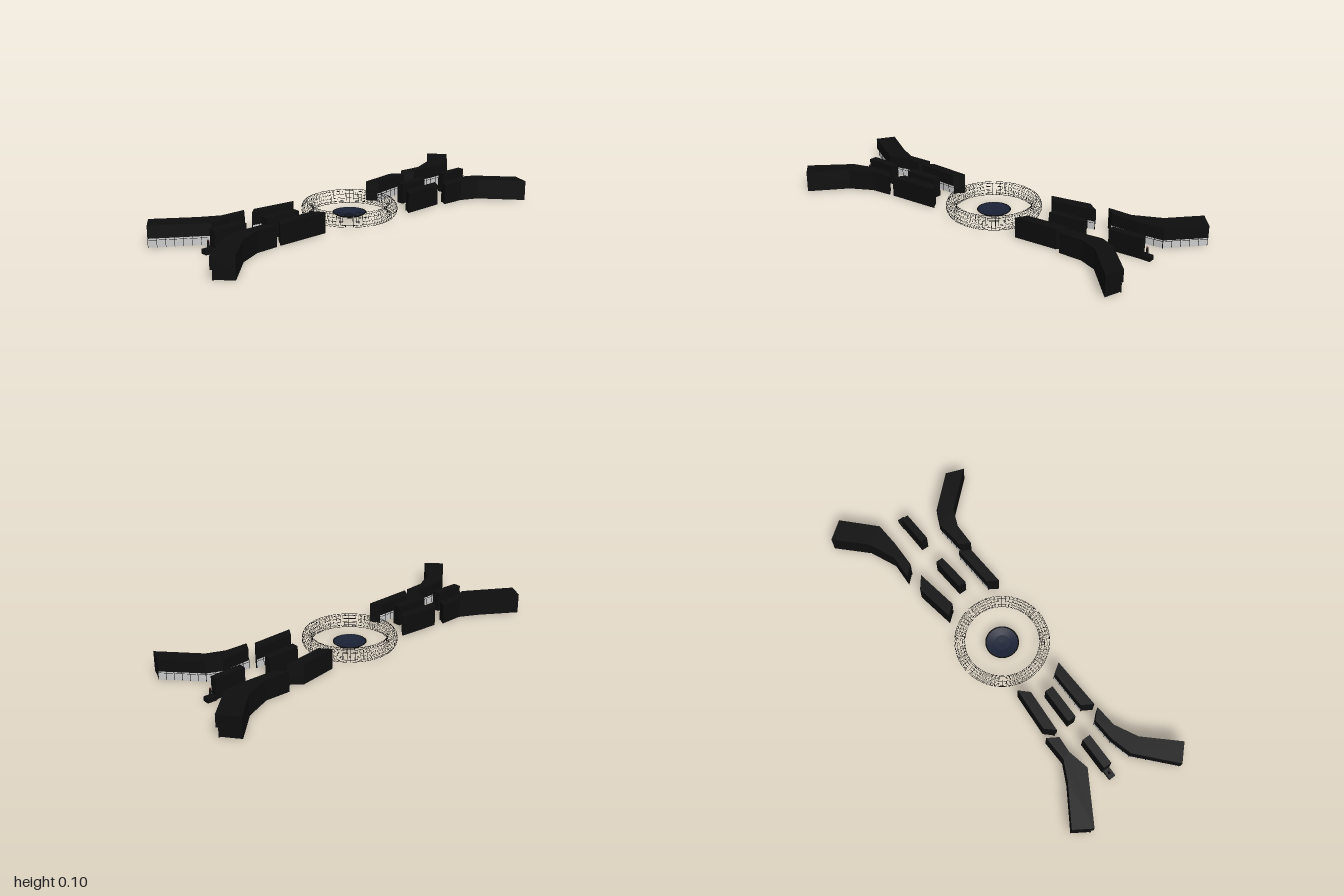
import * as THREE from 'three';
import { mergeGeometries } from 'three/addons/utils/BufferGeometryUtils.js';

const black = new THREE.MeshStandardMaterial({ color: 0x0e0e0e });
const grey = new THREE.MeshStandardMaterial({ color: 0xcccccc });
const blue = new THREE.MeshStandardMaterial({ color: 0x1a2236, flatShading: true, side: THREE.DoubleSide });
const red = new THREE.MeshStandardMaterial({ color: 0x3a1414 });

const TOP = 0.105, SILL = 0.045;

function add(parent, name, geometry, material) {
  const mesh = new THREE.Mesh(geometry, material);
  mesh.name = name;
  parent.add(mesh);
  return mesh;
}

// Upright prism over a plan outline of [x, z] points
function prism(points, y0, y1) {
  const shape = new THREE.Shape(points.map(([x, z]) => new THREE.Vector2(x, -z)));
  return new THREE.ExtrudeGeometry(shape, { depth: y1 - y0, bevelEnabled: false })
    .rotateX(-Math.PI / 2).translate(0, y0, 0);
}

// Box laid between two plan points
function bar(a, b, y0, y1, depth) {
  const dx = b[0] - a[0], dz = b[1] - a[1];
  return new THREE.BoxGeometry(Math.hypot(dx, dz), y1 - y0, depth)
    .rotateY(-Math.atan2(dz, dx))
    .translate((a[0] + b[0]) / 2, (y0 + y1) / 2, (a[1] + b[1]) / 2);
}

const mix = (a, b, t) => [a[0] + (b[0] - a[0]) * t, a[1] + (b[1] - a[1]) * t];

// Pavilion: overhanging upper storey, recessed glazed wall on its inner side
function pavilion(name, inner, outer) {
  const g = new THREE.Group();
  g.name = name;
  const back = [...outer].reverse();
  const recess = t => inner.map((p, i) => mix(p, outer[i], t));
  add(g, 'upperStorey', prism([...inner, ...back], SILL, TOP), black);
  add(g, 'groundStorey', prism([...recess(0.14), ...back], 0.003, SILL), black);

  const line = recess(0.12), glass = [], frame = [];
  for (let i = 0; i < line.length - 1; i++) {
    const a = line[i], b = line[i + 1];
    glass.push(bar(a, b, 0, SILL, 0.003));
    frame.push(bar(a, b, 0.033, 0.0345, 0.005));
    const length = Math.hypot(b[0] - a[0], b[1] - a[1]);
    const n = Math.max(2, Math.round(length / 0.04));
    for (let k = 0; k <= n; k++) {
      const [x, z] = mix(a, b, k / n);
      frame.push(new THREE.BoxGeometry(0.002, SILL, 0.006)
        .rotateY(-Math.atan2(b[1] - a[1], b[0] - a[0])).translate(x, SILL / 2, z));
    }
  }
  add(g, 'windows', mergeGeometries(glass), grey);
  add(g, 'windowFrames', mergeGeometries(frame), black);
  return g;
}

// Small figure on a low plinth
function statue(name, x, z) {
  const g = new THREE.Group();
  g.name = name;
  add(g, 'plinth', new THREE.BoxGeometry(0.05, 0.022, 0.034).translate(0, 0.011, 0), black);
  add(g, 'body', new THREE.CylinderGeometry(0.005, 0.007, 0.032, 8).translate(0, 0.038, 0), black);
  add(g, 'head', new THREE.SphereGeometry(0.005, 8, 6).translate(0, 0.058, 0), red);
  g.position.set(x, 0, z);
  return g;
}

// Ring-shaped wire cage: upright hoops joined by level rings
function wireCage() {
  const R = 0.21, rx = 0.026, ry = 0.036, cy = 0.043, wire = 0.0006;
  const closed = pts => new THREE.CatmullRomCurve3(pts, true);
  const parts = [];
  const point = (u, v) => {
    const r = R + rx * Math.cos(v);
    return new THREE.Vector3(r * Math.cos(u), cy + ry * Math.sin(v), r * Math.sin(u));
  };
  const steps = n => Array.from({ length: n }, (_, i) => (i / n) * Math.PI * 2);
  for (const u of steps(72))
    parts.push(new THREE.TubeGeometry(closed(steps(12).map(v => point(u, v))), 24, wire, 3, true));
  for (const v of steps(12))
    parts.push(new THREE.TubeGeometry(closed(steps(24).map(u => point(u, v))), 96, wire, 3, true));
  return mergeGeometries(parts);
}

export function createModel() {
  const model = new THREE.Group();

  // Curved end wings, listed from the centre outwards
  model.add(
    pavilion('backRightWing',
      [[-0.566, -0.075], [-0.65, -0.08], [-0.758, -0.055], [-1, -0.2]],
      [[-0.534, -0.128], [-0.662, -0.123], [-0.758, -0.17], [-0.945, -0.288]]),
    pavilion('frontRightWing',
      [[-0.6, 0.112], [-0.715, 0.12], [-0.822, 0.15], [-1, 0.315]],
      [[-0.555, 0.16], [-0.667, 0.17], [-0.78, 0.23], [-0.924, 0.39]]),
    pavilion('backLeftWing',
      [[0.582, -0.15], [0.726, -0.15], [0.85, -0.16], [1, -0.31]],
      [[0.534, -0.2], [0.66, -0.197], [0.795, -0.26], [0.93, -0.4]]),
    pavilion('frontLeftWing',
      [[0.53, 0.112], [0.683, 0.096], [0.758, 0.128], [0.908, 0.288]],
      [[0.502, 0.165], [0.62, 0.165], [0.71, 0.2], [0.876, 0.38]]),
  );

  // Straight blocks next to the ring
  model.add(
    pavilion('backRightBlock', [[-0.31, -0.053], [-0.534, -0.064]], [[-0.267, -0.1], [-0.49, -0.112]]),
    pavilion('frontRightBlock', [[-0.3, 0.096], [-0.5, 0.1]], [[-0.267, 0.144], [-0.534, 0.157]]),
    pavilion('backLeftBlock', [[0.283, -0.1], [0.502, -0.14]], [[0.24, -0.15], [0.44, -0.187]]),
    pavilion('frontLeftBlock', [[0.283, 0.107], [0.502, 0.09]], [[0.25, 0.16], [0.47, 0.144]]),
  );

  // Plain halls along the middle
  const halls = {
    rightInnerHall: [[-0.53, 0.005], [-0.347, 0.005], [-0.347, 0.048], [-0.53, 0.048]],
    rightOuterHall: [[-0.805, 0.006], [-0.64, 0.006], [-0.64, 0.048], [-0.805, 0.048]],
    leftInnerHall: [[0.342, -0.02], [0.518, -0.037], [0.518, 0], [0.342, 0.02]],
    leftOuterHall: [[0.657, -0.037], [0.82, -0.046], [0.82, -0.01], [0.657, 0]],
  };
  for (const [name, outline] of Object.entries(halls))
    add(model, name, prism(outline, 0.003, TOP), black);
  model.add(statue('rightStatue', -0.828, 0.029), statue('leftStatue', 0.841, -0.031));

  // Ring and dish at the centre
  add(model, 'wireCage', wireCage(), black);
  const profile = (...p) => p.map(([x, y]) => new THREE.Vector2(x, y));
  add(model, 'dishShell', new THREE.LatheGeometry(
    profile([0, 0.005], [0.045, 0.006], [0.07, 0.012], [0.084, 0.022], [0.077, 0.022]), 32), black);
  add(model, 'dishBowl', new THREE.LatheGeometry(
    profile([0.077, 0.022], [0.04, 0.015], [0, 0.013]), 32), blue);
  return model;
}
